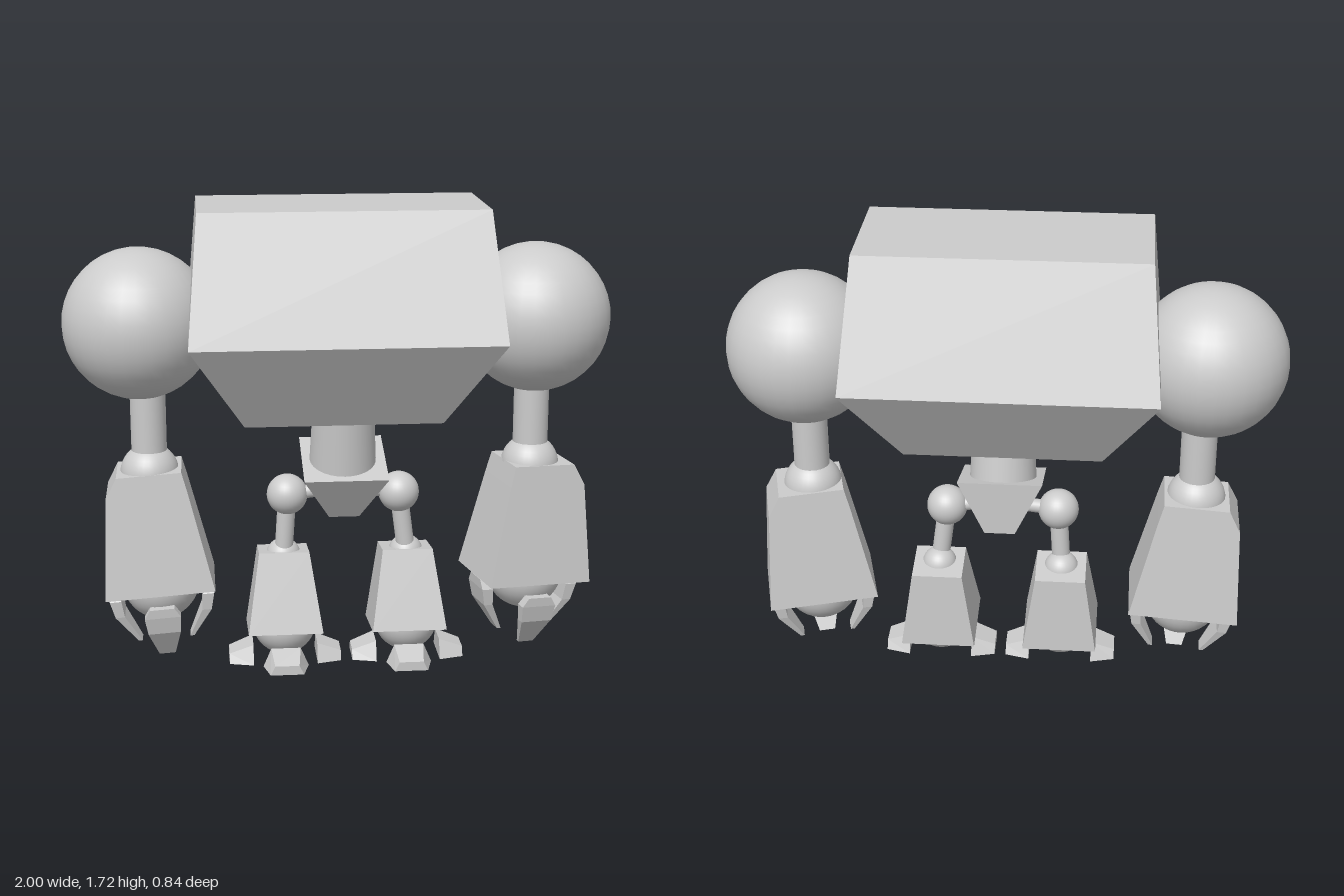
import * as THREE from 'three';

const smooth = new THREE.MeshStandardMaterial({ color: 0xcccccc });
const flat = new THREE.MeshStandardMaterial({ color: 0xcccccc, flatShading: true });

function add(parent, name, geometry, material, x = 0, y = 0, z = 0) {
  const mesh = new THREE.Mesh(geometry, material);
  mesh.name = name;
  mesh.position.set(x, y, z);
  parent.add(mesh);
  return mesh;
}

function addGroup(parent, name, x = 0, y = 0, z = 0) {
  const group = new THREE.Group();
  group.name = name;
  group.position.set(x, y, z);
  parent.add(group);
  return group;
}

const ball = (parent, name, r, x, y, z) =>
  add(parent, name, new THREE.SphereGeometry(r, 32, 20), smooth, x, y, z);

// Cylinder between two points
function rod(parent, name, from, to, rFrom, rTo = rFrom) {
  const a = new THREE.Vector3(...from), b = new THREE.Vector3(...to);
  const dir = b.clone().sub(a);
  const mesh = add(parent, name, new THREE.CylinderGeometry(rTo, rFrom, dir.length(), 28), smooth);
  mesh.position.copy(a).add(b).multiplyScalar(0.5);
  mesh.quaternion.setFromUnitVectors(new THREE.Vector3(0, 1, 0), dir.normalize());
  return mesh;
}

// Closed, faceted solid through a series of four-cornered rings
function loft(rings) {
  const pos = [];
  const quad = (a, b, c, d) => pos.push(...a, ...b, ...c, ...a, ...c, ...d);
  for (let s = 0; s < rings.length - 1; s++) {
    const lo = rings[s], hi = rings[s + 1];
    for (let i = 0; i < 4; i++) {
      const j = (i + 1) % 4;
      quad(lo[i], lo[j], hi[j], hi[i]);
    }
  }
  const [a, b, c, d] = rings[0];
  quad(d, c, b, a);
  quad(...rings[rings.length - 1]);
  const geometry = new THREE.BufferGeometry();
  geometry.setAttribute('position', new THREE.Float32BufferAttribute(pos, 3));
  geometry.computeVertexNormals();
  return geometry;
}

// Rectangle at height y
const rect = (y, x0, x1, z0, z1) => [[x0, y, z1], [x1, y, z1], [x1, y, z0], [x0, y, z0]];
const centred = (y, hx, hz) => rect(y, -hx, hx, -hz, hz);

// Bent blade hanging down on the +z side of the hand
const clawGeometry = () => loft([
  rect(-0.215, -0.03, 0.03, 0.09, 0.105),
  rect(-0.105, -0.06, 0.06, 0.145, 0.18),
  rect(-0.04, -0.067, 0.067, 0.152, 0.195),
  rect(-0.005, -0.045, 0.045, 0.16, 0.198),
]);

// Wedge toe pointing to +z
const toeRing = (z, wBottom, wTop, h) =>
  [[-wBottom, 0, z], [wBottom, 0, z], [wTop, h, z], [-wTop, h, z]];
const toeGeometry = () => loft([
  toeRing(0.12, 0.085, 0.055, 0.07),
  toeRing(0.21, 0.062, 0.045, 0.035),
]);

function buildArm(root, side) {
  const arm = addGroup(root, side > 0 ? 'leftArm' : 'rightArm');
  const x = side > 0 ? 0.72 : -0.7;
  ball(arm, 'shoulder', 0.275, side * 0.725, 1.29, -0.04);
  rod(arm, 'upperArm', [x, 0.76, -0.04], [x, 1.1, -0.04], 0.065);
  ball(arm, 'elbow', 0.108, x, 0.73, -0.04);

  const lower = addGroup(arm, 'lowerArm', side > 0 ? 0.71 : -0.67, 0.295, -0.045);
  lower.rotation.set(0, side > 0 ? 0.24 : 0, side > 0 ? -0.05 : 0.07, 'ZYX');

  // Tapered forearm with its outer upper edge cut off
  const section = (y, inner, outer, hz) =>
    side > 0 ? rect(y, -inner, outer, -hz, hz) : rect(y, -outer, inner, -hz, hz);
  add(lower, 'forearm', loft([
    section(0, 0.202, 0.202, 0.16),
    section(0.375, 0.134, 0.165, 0.12),
    section(0.452, 0.118, 0.12, 0.112),
  ]), flat);
  ball(lower, 'hand', 0.145, 0, 0.01, 0);

  // Two side claws and a lower front claw
  for (const s of [-1, 1]) {
    add(lower, 'sideClaw', clawGeometry(), flat).rotation.y = s * Math.PI / 2;
  }
  add(lower, 'frontClaw', clawGeometry(), flat, 0, -0.045, -0.035);
}

function buildLeg(root, side) {
  const leg = addGroup(root, side > 0 ? 'leftLeg' : 'rightLeg');
  const hipX = side > 0 ? 0.222 : -0.195;
  const footX = side > 0 ? 0.253 : -0.21;
  ball(leg, 'hip', 0.076, hipX, 0.64, -0.01);
  rod(leg, 'hipAxle', [0.015, 0.665, -0.01], [hipX, 0.64, -0.01], 0.026);
  rod(leg, 'thigh', [footX, 0.4, -0.015], [hipX, 0.64, -0.01], 0.034);
  ball(leg, 'knee', 0.065, footX, 0.395, -0.03);
  const shin = add(leg, 'shin', loft([
    centred(0, 0.139, 0.14),
    centred(0.3, 0.094, 0.09),
  ]), flat, footX, 0.115, -0.01);
  shin.rotation.x = -0.14;
  ball(leg, 'ankle', 0.12, footX, 0.135, -0.01);
  for (const turn of [-1, 0, 1]) {
    const toe = add(leg, 'toe', toeGeometry(), flat, footX, 0, turn ? 0.005 : -0.02);
    toe.rotation.y = turn * Math.PI / 2;
  }
}

export function createModel() {
  const root = new THREE.Group();
  root.name = 'robot';

  // Six-sided barrel body
  add(root, 'body', loft([
    centred(0.957, 0.355, 0.208),
    centred(1.28, 0.548, 0.418),
    centred(1.722, 0.51, 0.232),
  ]), flat);

  // Waist and forward-tilted pelvis
  rod(root, 'waist', [0.012, 0.74, -0.013], [0.012, 1.0, 0.025], 0.125, 0.112);
  const pelvis = add(root, 'pelvis', loft([
    centred(-0.2, 0.056, 0.09),
    centred(0, 0.155, 0.155),
  ]), flat, 0.015, 0.773, -0.007);
  pelvis.rotation.x = 0.29;

  for (const side of [-1, 1]) {
    buildArm(root, side);
    buildLeg(root, side);
  }
  return root;
}
